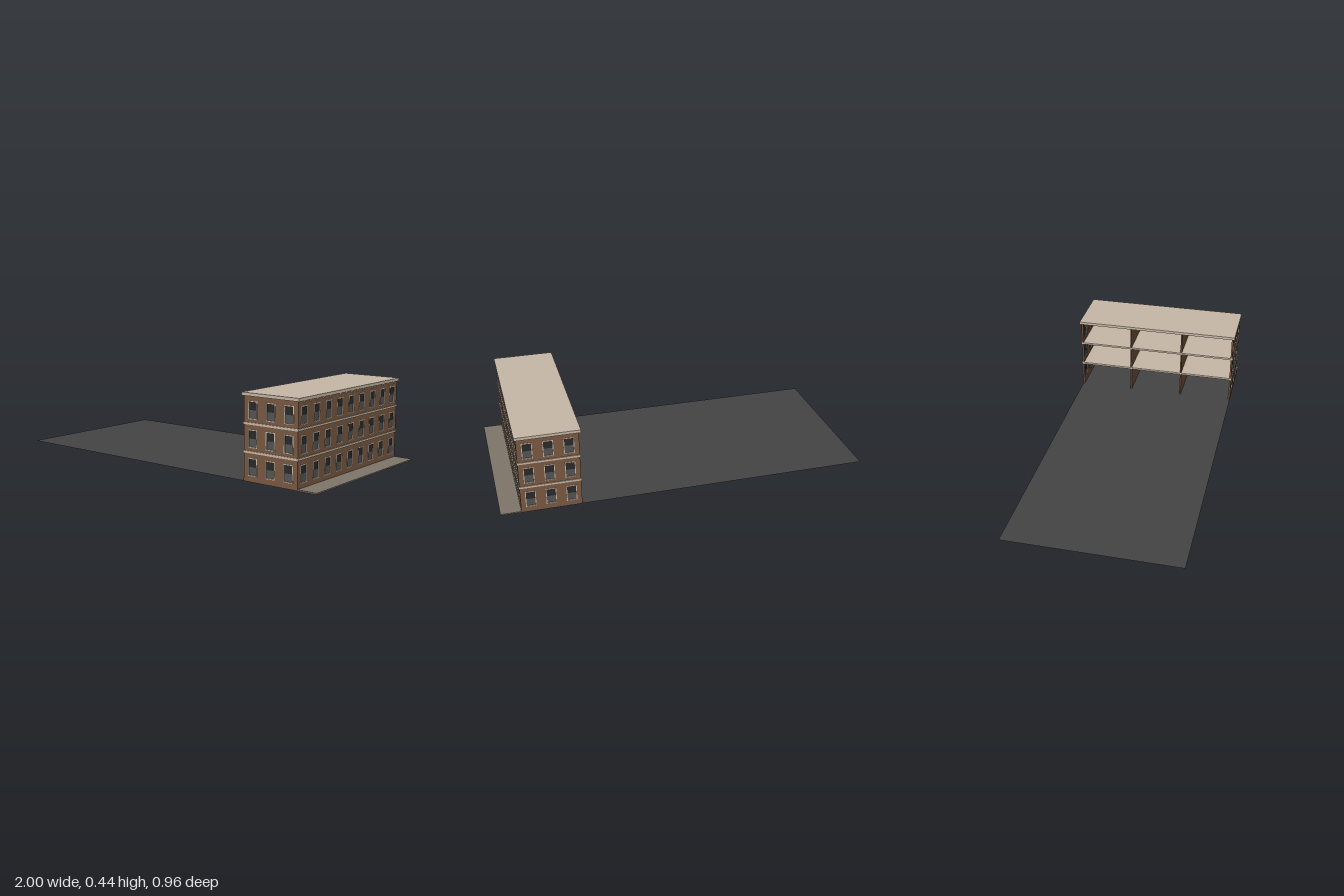
import * as THREE from 'three';

const material = (color) => new THREE.MeshStandardMaterial({ color, side: THREE.DoubleSide });
const brick = material(0x7a5a42);
const stone = material(0xc8b9a8);
const pavement = material(0x7f756a);
const asphalt = material(0x444444);
const darkGlass = material(0x2a2a2a);
const greyGlass = material(0x555555);

// Building extents
const X0 = 0.577, X1 = 0.893, HALF_Z = 0.473, WALL_TOP = 0.426;
const THICK = 0.01, FLOOR_H = 0.1405;
const WIN_W = 0.054, WIN_H = 0.09, FRAME = 0.004;

// Box given by its minimum and maximum corners
function box(name, mat, x0, x1, y0, y1, z0, z1) {
  const mesh = new THREE.Mesh(new THREE.BoxGeometry(x1 - x0, y1 - y0, z1 - z0), mat);
  mesh.position.set((x0 + x1) / 2, (y0 + y1) / 2, (z0 + z1) / 2);
  mesh.name = name;
  return mesh;
}

function rectangle(target, w, h, x = 0, y = 0) {
  target.moveTo(x - w / 2, y - h / 2);
  target.lineTo(x + w / 2, y - h / 2);
  target.lineTo(x + w / 2, y + h / 2);
  target.lineTo(x - w / 2, y + h / 2);
  target.closePath();
  return target;
}

// Shared frame geometry
const frameShape = rectangle(new THREE.Shape(), WIN_W, WIN_H);
frameShape.holes.push(rectangle(new THREE.Path(), WIN_W - 2 * FRAME, WIN_H - 2 * FRAME));
const frameGeometry = new THREE.ExtrudeGeometry(frameShape, { depth: 0.009, bevelEnabled: false });
frameGeometry.translate(0, 0, -0.008);

// Sash window: stone frame, dark upper pane, grey lower pane set further back
function makeWindow() {
  const win = new THREE.Group();
  win.name = 'window';
  const frame = new THREE.Mesh(frameGeometry, stone);
  frame.name = 'windowFrame';
  const w = WIN_W / 2 - FRAME, h = WIN_H / 2 - FRAME;
  win.add(
    frame,
    box('upperPane', darkGlass, -w, w, 0, h, -0.005, -0.002),
    box('lowerPane', greyGlass, -w, w, -h, 0, -0.007, -0.004),
  );
  return win;
}

// Wall with three rows of windows; its outer face is at local z = 0
function makeWall(name, width, columns, pitch) {
  const wall = new THREE.Group();
  wall.name = name;
  const shape = rectangle(new THREE.Shape(), width, WALL_TOP, 0, WALL_TOP / 2);
  for (let row = 0; row < 3; row++) {
    for (let col = 0; col < columns; col++) {
      const x = (col - (columns - 1) / 2) * pitch;
      const y = 0.075 + row * FLOOR_H;
      shape.holes.push(rectangle(new THREE.Path(), WIN_W, WIN_H, x, y));
      const win = makeWindow();
      win.position.set(x, y, 0);
      wall.add(win);
    }
  }
  const geometry = new THREE.ExtrudeGeometry(shape, { depth: THICK, bevelEnabled: false });
  geometry.translate(0, 0, -THICK);
  const panel = new THREE.Mesh(geometry, brick);
  panel.name = name + 'Brickwork';
  wall.add(panel);
  return wall;
}

export function createModel() {
  const model = new THREE.Group();
  model.name = 'rowBuilding';

  // Flat lot and raised sidewalk
  const lot = new THREE.Mesh(new THREE.PlaneGeometry(1 + X1, 2 * HALF_Z), asphalt);
  lot.rotation.x = -Math.PI / 2;
  lot.position.set((X1 - 1) / 2, 0.0005, 0);
  lot.name = 'lot';
  model.add(lot, box('sidewalk', pavement, X1, 1, 0, 0.007, -HALF_Z, HALF_Z));

  // Long street wall and two end walls; the side facing the lot is open
  const midX = (X0 + X1) / 2;
  const street = makeWall('streetWall', 2 * (HALF_Z - THICK), 9, 0.1055);
  street.rotation.y = Math.PI / 2;
  street.position.x = X1;
  const front = makeWall('frontWall', X1 - X0, 3, 0.1055);
  front.position.set(midX, 0, HALF_Z);
  const back = makeWall('backWall', X1 - X0, 3, 0.1055);
  back.rotation.y = Math.PI;
  back.position.set(midX, 0, -HALF_Z);
  model.add(street, front, back);

  // Partitions between the three bays
  for (const z of [-HALF_Z / 3, HALF_Z / 3]) {
    model.add(box('partition', brick, X0, X1 - THICK, 0, WALL_TOP, z - 0.004, z + 0.004));
  }

  // Floor slabs that project as belt courses
  for (const y of [0.1495, 0.29]) {
    model.add(box('floorSlab', stone, X0 - 0.003, X1 + 0.004, y - 0.0055, y + 0.0055, -HALF_Z - 0.004, HALF_Z + 0.004));
  }

  // Roof slab with overhanging cornice
  model.add(box('roof', stone, 0.567, 0.901, 0.425, 0.441, -0.481, 0.481));

  // Cornice brackets, five to each bay
  for (let bay = -1; bay <= 1; bay++) {
    for (let i = -2; i <= 2; i++) {
      const z = bay * 0.316 + i * 0.0563;
      model.add(box('bracket', stone, X1, X1 + 0.005, 0.414, 0.426, z - 0.005, z + 0.005));
    }
  }
  return model;
}
